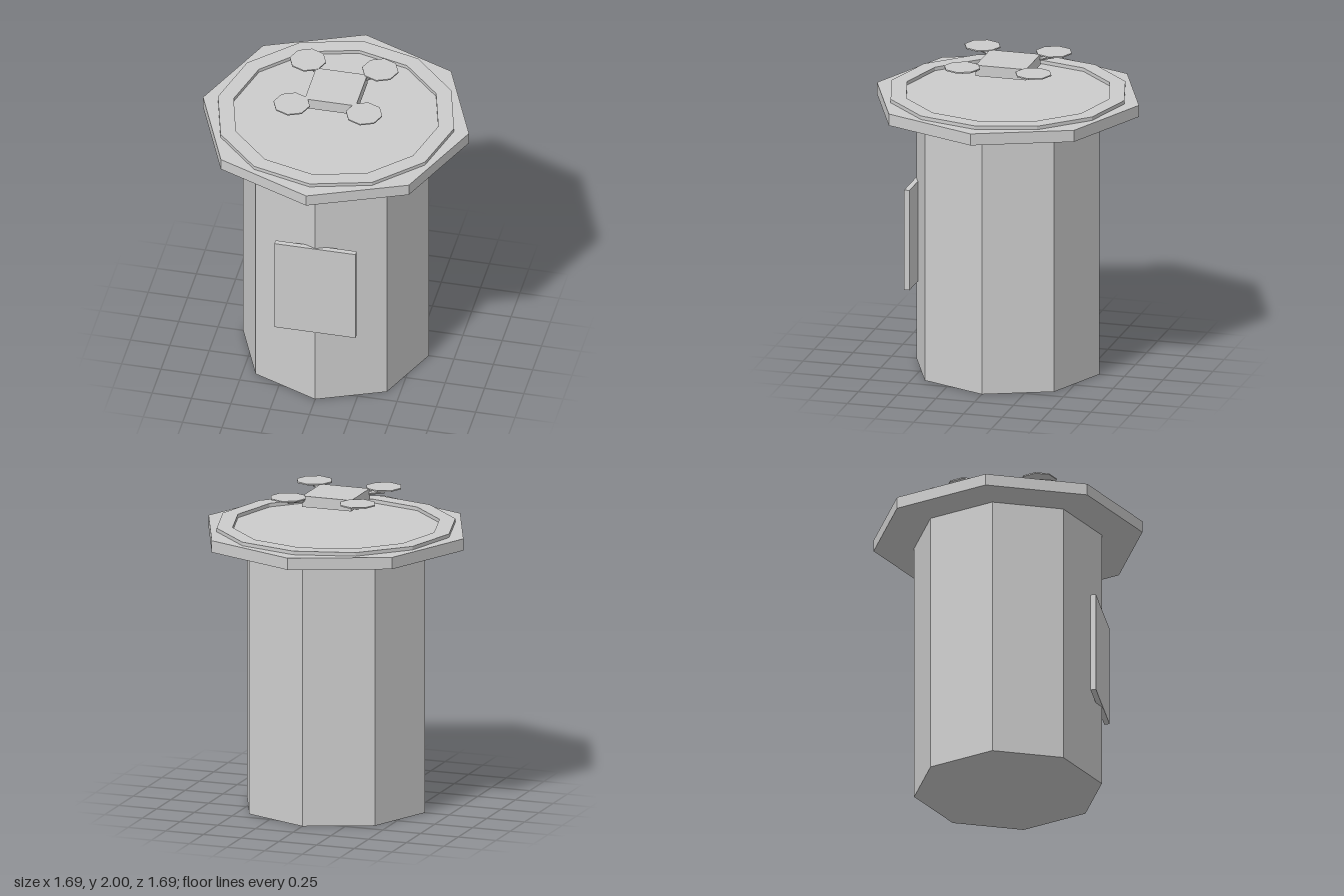
import * as THREE from 'three';

export function createModel() {
  const model = new THREE.Group();
  model.name = 'droneTower';
  const grey = new THREE.MeshStandardMaterial({ color: 0xcccccc });
  grey.name = 'light grey';

  const add = (name, geometry, x, y, z, parent = model) => {
    const flat = geometry.index ? geometry.toNonIndexed() : geometry;
    flat.computeVertexNormals(); // faceted shading
    const mesh = new THREE.Mesh(flat, grey);
    mesh.name = name;
    mesh.position.set(x, y, z);
    parent.add(mesh);
    return mesh;
  };

  // Octagonal tower, corners on the axes
  add('tower', new THREE.CylinderGeometry(0.59, 0.59, 1.7, 8), 0, 0.85, 0);
  add('landingPlatform', new THREE.CylinderGeometry(0.845, 0.845, 0.075, 8), 0, 1.7375, 0);
  add('doorPanel', new THREE.BoxGeometry(0.516, 0.65, 0.034), 0, 0.85, 0.579);

  // Twelve-sided raised ring on the platform
  const polygon = (radius) => Array.from({ length: 12 }, (_, i) => {
    const a = (i / 12) * Math.PI * 2;
    return new THREE.Vector2(Math.cos(a) * radius, Math.sin(a) * radius);
  });
  const ring = new THREE.Shape(polygon(0.75));
  ring.holes.push(new THREE.Path(polygon(0.65)));
  const ringGeometry = new THREE.ExtrudeGeometry(ring, { depth: 0.025, bevelEnabled: false });
  ringGeometry.rotateX(-Math.PI / 2);
  add('landingRing', ringGeometry, 0, 1.773, 0);

  // Hovering drone with four diagonal arms and rotors
  const drone = new THREE.Group();
  drone.name = 'drone';
  model.add(drone);
  add('droneBody', new THREE.BoxGeometry(0.325, 0.07, 0.325), 0, 1.962, 0, drone);
  for (const sx of [-1, 1]) {
    for (const sz of [-1, 1]) {
      const arm = new THREE.CylinderGeometry(0.013, 0.013, 0.13, 6);
      arm.rotateZ(Math.PI / 2);
      arm.rotateY(-Math.atan2(sz, sx));
      add('droneArm', arm, sx * 0.185, 1.969, sz * 0.185, drone);
      add('rotor', new THREE.CylinderGeometry(0.115, 0.115, 0.008, 8), sx * 0.23, 1.996, sz * 0.23, drone);
    }
  }
  return model;
}
